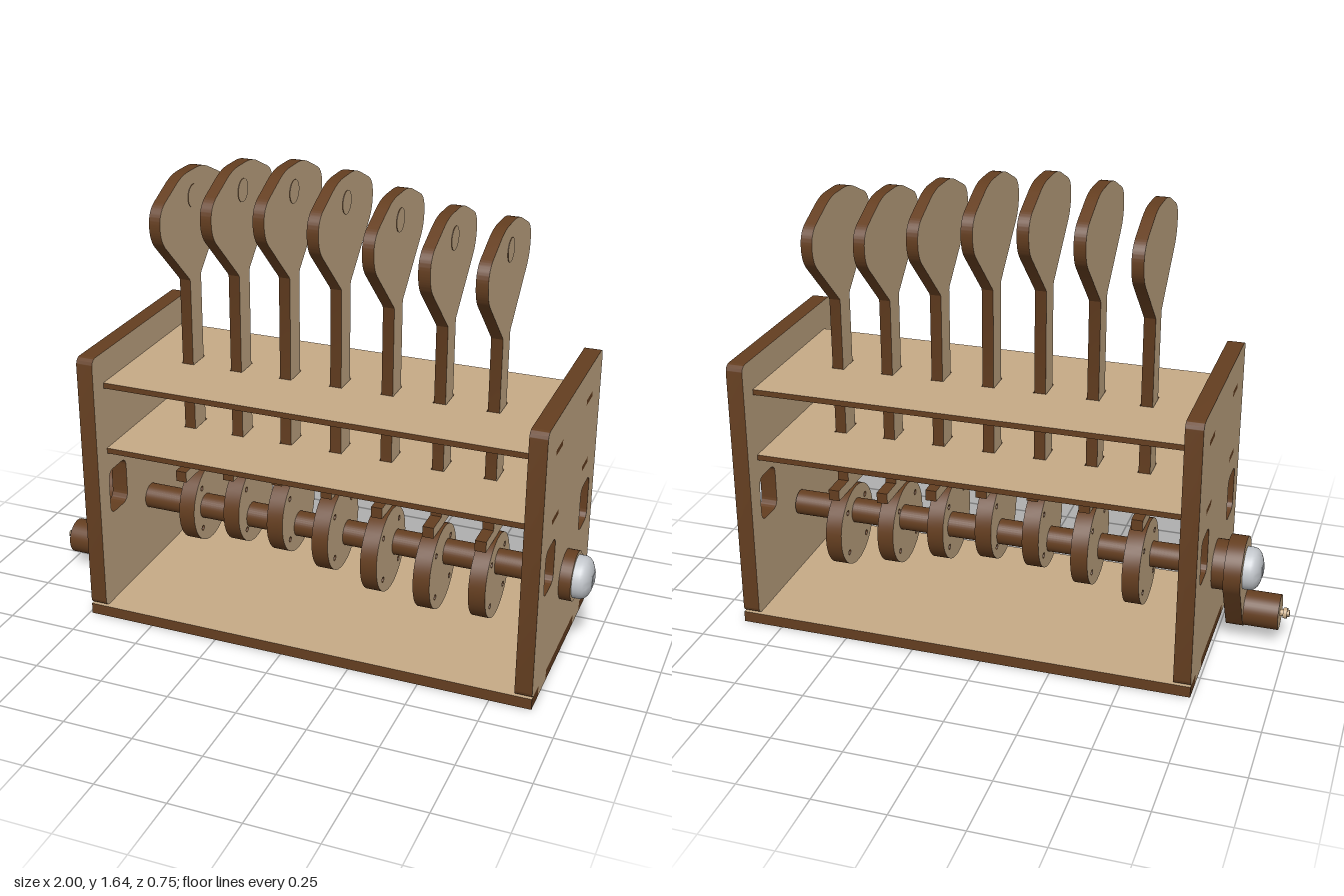
import * as THREE from 'three';
import { toCreasedNormals } from 'three/addons/utils/BufferGeometryUtils.js';

export function createModel() {
  const model = new THREE.Group();
  model.name = 'camAutomaton';
  const mat = (name, color) => {
    const m = new THREE.MeshStandardMaterial({ color });
    m.name = name;
    return m;
  };
  const wood = mat('plywoodFace', 0xc6aa86);
  const edge = mat('burntEdge', 0x643e20);
  const steel = mat('steel', 0xc3c7cc);

  const add = (name, geo, material, x = 0, y = 0, z = 0) => {
    const m = new THREE.Mesh(geo, material);
    m.name = name;
    m.position.set(x, y, z);
    model.add(m);
    return m;
  };

  // Closed outline from [x, y, cornerCut] points with softened corners
  const outline = (pts, Type = THREE.Shape) => {
    const s = new Type();
    const n = pts.length;
    const towards = (p, q, d) => {
      const l = Math.hypot(q[0] - p[0], q[1] - p[1]);
      return [p[0] + (q[0] - p[0]) * d / l, p[1] + (q[1] - p[1]) * d / l];
    };
    pts.forEach((p, i) => {
      const d = p[2] || 0;
      const a = towards(p, pts[(i + n - 1) % n], d);
      const b = towards(p, pts[(i + 1) % n], d);
      if (i === 0) s.moveTo(...a); else s.lineTo(...a);
      if (d) s.quadraticCurveTo(p[0], p[1], ...b);
    });
    s.closePath();
    return s;
  };
  const rect = (x0, x1, y0, y1, r = 0, Type = THREE.Path) =>
    outline([[x0, y0, r], [x1, y0, r], [x1, y1, r], [x0, y1, r]], Type);
  const circle = (x, y, r, Type = THREE.Path) => {
    const s = new Type();
    s.absarc(x, y, r, 0, Math.PI * 2, false);
    return s;
  };

  // Sheets: pale faces, dark cut edges. Upright ones are drawn in (-z, y)
  const sheet = (shape, depth) => new THREE.ExtrudeGeometry(shape, { depth, bevelEnabled: false, curveSegments: 20 });
  const upright = (name, shape, x, t, y = 0, z = 0) =>
    add(name, toCreasedNormals(sheet(shape, t).rotateY(Math.PI / 2), 0.5), [wood, edge], x, y, z);
  const flat = (name, shape, y, t) =>
    add(name, toCreasedNormals(sheet(shape, t).rotateX(-Math.PI / 2), 0.5), [wood, edge], 0, y, 0);

  const X0 = -0.74, X1 = 0.895, T = 0.06, Z = 0.375, BASE = 0.04;
  const shaftY = 0.312;
  const shelves = [0.622, 0.87], shelfT = 0.02;

  // Side panels with feet, windows and shelf slots
  const half = [[0.19, BASE], [0.19, 0], [0.29, 0], [0.29, BASE], [Z, BASE, 0.025], [Z, 1, 0.03]];
  const mirrored = (pts) => [...pts, ...pts.slice().reverse().map(([x, y, r]) => [-x, y, r])];
  for (const [name, x] of [['rightPanel', X0], ['leftPanel', X1 - T]]) {
    const s = outline(mirrored(half));
    for (const k of [-1, 1]) {
      const span = (a, b) => (k > 0 ? [a, b] : [-b, -a]);
      s.holes.push(rect(...span(0.178, 0.303), 0.38, 0.548, 0.035));
      for (const y of shelves) s.holes.push(rect(...span(0.165, 0.25), y, y + shelfT));
    }
    upright(name, s, x, T);
  }

  // Base notched for the panel feet
  const xi0 = X0 + T, xi1 = X1 - T;
  const side = (xo, xi) => [[xo, -Z], [xo, -0.29], [xi, -0.29], [xi, -0.19], [xo, -0.19],
    [xo, 0.19], [xi, 0.19], [xi, 0.29], [xo, 0.29], [xo, Z]];
  flat('base', outline([...side(X1, xi1), ...side(X0, xi0).reverse()]), 0, BASE);

  // Two guide shelves with tabs through the panels
  const followers = Array.from({ length: 7 }, (_, i) => -0.485 + i * 0.186);
  const tabs = (xo, xi) => [[xi, -0.305], [xi, -0.25], [xo, -0.25], [xo, -0.165], [xi, -0.165],
    [xi, 0.165], [xo, 0.165], [xo, 0.25], [xi, 0.25], [xi, 0.305]];
  for (const y of shelves) {
    const s = outline([...tabs(X1, xi1), ...tabs(X0, xi0).reverse()]);
    for (const x of followers) s.holes.push(rect(x - 0.023, x + 0.023, -0.046, 0.046));
    flat('guideShelf', s, y, shelfT);
  }

  // Cylinder lying along x from x0 to x1
  const rod = (name, r, x0, x1, y, z, mats) => {
    const g = new THREE.CylinderGeometry(r, r, x1 - x0, 40).rotateZ(-Math.PI / 2);
    return add(name, g, mats, (x0 + x1) / 2, y, z);
  };
  const turned = [edge, wood, wood];
  rod('shaft', 0.046, xi0 - 0.03, xi1 - 0.008, shaftY, 0, turned);
  rod('leftCollar', 0.088, X1, 0.936, shaftY, 0, turned);
  rod('rightCollar', 0.088, -0.785, X0, shaftY, 0, turned);

  // Eccentric cams at 45 degree steps, each lifting a paddle
  const paddle = outline(mirrored([[0.13, 0], [0.13, 0.04], [0.042, 0.04], [0.042, 0.74, 0.01],
    [0.25, 0.94, 0.05], [0.25, 1.042, 0.05], [0.08, 1.121, 0.05]]));
  const cam = circle(0, 0, 0.1525, THREE.Shape);
  for (let i = 0; i < 4; i++) {
    const a = Math.PI * (i / 2 + 0.25);
    cam.holes.push(circle(0.115 * Math.cos(a), 0.115 * Math.sin(a), 0.01));
  }
  followers.forEach((x, i) => {
    const a = i * Math.PI / 4;
    const y = shaftY + 0.055 * Math.sin(a);
    upright('cam', cam, x - 0.03, 0.06, y, -0.055 * Math.cos(a));
    upright('paddle', paddle, x - 0.02, 0.04, y + 0.1525);
    // Small round inlay on the paddle
    rod('paddleInlay', 0.04, x + 0.016, x + 0.022, y + 1.183, 0, turned);
  });

  // Crank arm: two circles joined by their tangents
  const gripY = 0.118, gripZ = 0.065, ra = 0.11, rb = 0.066;
  const phi = Math.atan2(gripY - shaftY, -gripZ);
  const beta = Math.acos((ra - rb) / Math.hypot(gripZ, gripY - shaftY));
  const arm = new THREE.Shape();
  arm.absarc(0, shaftY, ra, phi + beta, phi - beta + Math.PI * 2, false);
  arm.absarc(-gripZ, gripY, rb, phi - beta, phi + beta, false);
  arm.closePath();
  upright('crankArm', arm, -0.845, 0.06);
  rod('crankGrip', 0.063, -0.967, -0.845, gripY, gripZ, turned);
  rod('gripPin', 0.012, -1, -0.967, gripY, gripZ, wood);
  rod('gripPinHead', 0.019, -0.992, -0.978, gripY, gripZ, wood);

  // Domed screws with a square drive
  const dome = [[0.075, 0], [0.075, 0.025], [0.071, 0.036], [0.06, 0.047], [0.043, 0.055], [0.022, 0.059], [0, 0.06]];
  const domeGeo = toCreasedNormals(
    new THREE.LatheGeometry(dome.map(([r, h]) => new THREE.Vector2(r, h)), 40), 0.6);
  for (const [k, x] of [[1, 0.936], [-1, -0.845]]) {
    add(k > 0 ? 'leftScrew' : 'rightScrew', domeGeo.clone().rotateZ(-k * Math.PI / 2), steel, x, shaftY, 0);
    add('screwDrive', new THREE.BoxGeometry(0.008, 0.04, 0.04), steel, x + k * 0.057, shaftY, 0);
  }
  return model;
}
